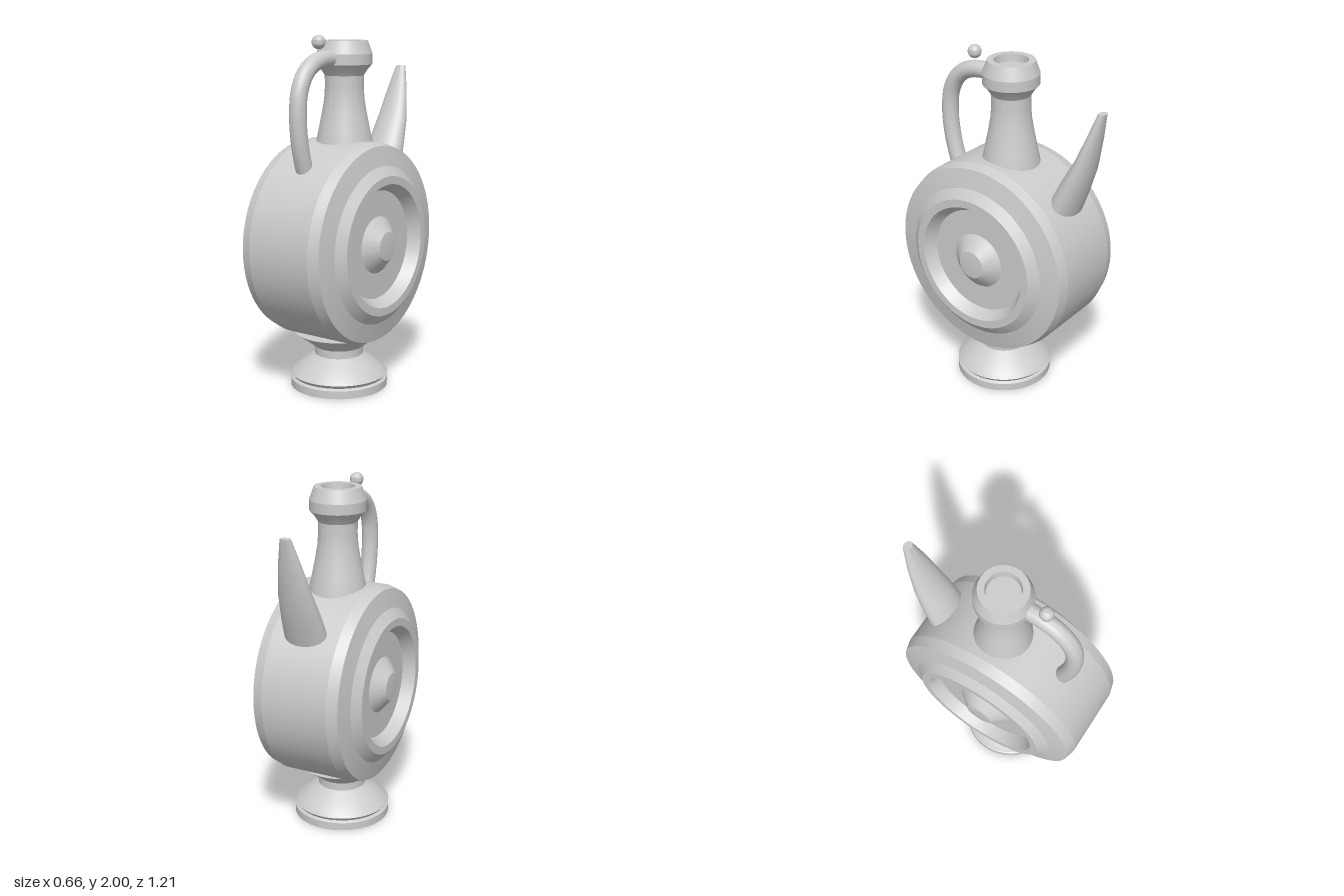
import * as THREE from 'three';
import { toCreasedNormals } from 'three/addons/utils/BufferGeometryUtils.js';

const clay = new THREE.MeshStandardMaterial({ color: 0xcccccc });
clay.name = 'grey clay';

function part(name, geometry, crease = 0.33) {
  const mesh = new THREE.Mesh(toCreasedNormals(geometry, crease), clay);
  mesh.name = name;
  return mesh;
}

// Turned solid from [radius, height] pairs
function turned(name, profile, crease) {
  const points = profile.map(([r, h]) => new THREE.Vector2(r, h));
  return part(name, new THREE.LatheGeometry(points, 72), crease);
}

// Tapered spout lofted through ellipses, each given by its inner and outer edge and half width
function spoutGeometry() {
  const sections = [
    // inner z, y, outer z, y, half width
    [-0.315, 1.285, -0.447, 1.19, 0.123],
    [-0.368, 1.39, -0.484, 1.29, 0.115],
    [-0.442, 1.52, -0.537, 1.455, 0.096],
    [-0.505, 1.665, -0.574, 1.64, 0.066],
    [-0.558, 1.8, -0.602, 1.8, 0.03],
  ];
  const middle = ([z1, y1, z2, y2]) => [(z1 + z2) / 2, (y1 + y2) / 2, (z1 + z2) / 2, (y1 + y2) / 2, 0];
  const rings = [middle(sections[0]), ...sections, middle(sections[4])]; // zero-size rings cap the ends
  const sides = 40, position = [], index = [];
  rings.forEach(([z1, y1, z2, y2, w], i) => {
    for (let j = 0; j < sides; j++) {
      const a = (j / sides) * Math.PI * 2, s = Math.sin(a) / 2;
      position.push(w * Math.cos(a), (y1 + y2) / 2 + s * (y1 - y2), (z1 + z2) / 2 + s * (z1 - z2));
      if (i === rings.length - 1) continue;
      const p = i * sides + j, q = i * sides + (j + 1) % sides;
      index.push(p, p + sides, q, q, p + sides, q + sides);
    }
  });
  const geometry = new THREE.BufferGeometry();
  geometry.setAttribute('position', new THREE.Float32BufferAttribute(position, 3));
  geometry.setIndex(index);
  return geometry;
}

export function createModel() {
  const model = new THREE.Group();
  model.name = 'ring flask';

  // Drum body with recessed faces and central bosses, mirrored about its middle
  const half = [
    [0, 0.329], [0.08, 0.322], [0.16, 0.255], [0.304, 0.255], [0.345, 0.322],
    [0.39, 0.322], [0.443, 0.28], [0.55, 0.255], [0.567, 0.195],
  ];
  const body = turned('body', [...half.map(([r, h]) => [r, -h]), ...half.slice().reverse()], 0.25);
  body.rotation.z = -Math.PI / 2;
  body.position.set(0, 0.85, 0.037);
  model.add(body);

  // Pedestal foot with a groove, a waist and a flared cup under the body
  const foot = turned('foot', [
    [0, 0], [0.278, 0], [0.278, 0.045], [0.262, 0.055], [0.278, 0.075], [0.262, 0.095],
    [0.2, 0.142], [0.138, 0.185], [0.138, 0.23], [0.25, 0.315], [0, 0.315],
  ]);
  foot.position.z = 0.053;
  model.add(foot);

  // Neck with a collared lip and shallow mouth
  model.add(turned('neck', [
    [0.165, 1.36], [0.16, 1.4], [0.145, 1.47], [0.127, 1.56], [0.113, 1.64], [0.108, 1.71], [0.109, 1.775],
    [0.13, 1.808], [0.155, 1.836], [0.156, 1.894], [0.13, 1.966], [0.093, 1.966], [0.089, 1.922], [0, 1.922],
  ]));

  // Curved handle from lip to shoulder
  const path = new THREE.CatmullRomCurve3([
    [1.87, 0.12], [1.868, 0.22], [1.845, 0.3], [1.795, 0.365], [1.71, 0.411], [1.6, 0.426],
    [1.48, 0.419], [1.38, 0.4], [1.28, 0.37], [1.22, 0.345],
  ].map(([y, z]) => new THREE.Vector3(0.005, y, z)));
  model.add(part('handle', new THREE.TubeGeometry(path, 48, 0.047, 24), 0.6));

  // Small ball above the handle
  const knob = part('knob', new THREE.SphereGeometry(0.038, 24, 16), 0.6);
  knob.position.set(0.005, 1.963, 0.243);
  model.add(knob);

  model.add(part('spout', spoutGeometry(), 0.45));
  return model;
}
